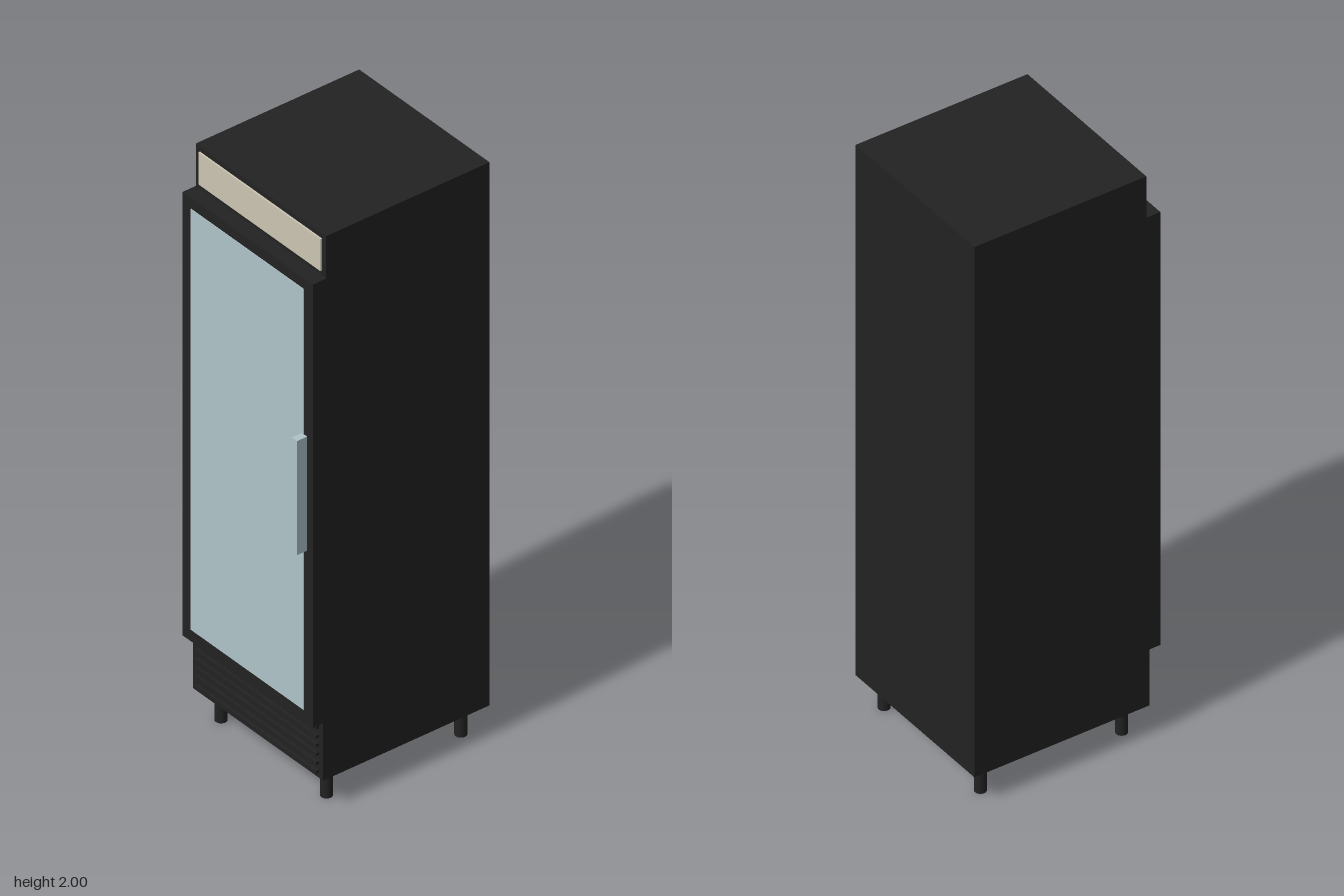
import * as THREE from 'three';

export function createModel() {
  const model = new THREE.Group();
  model.name = 'displayFridge';
  const mat = (name, color) => {
    const m = new THREE.MeshStandardMaterial({ color });
    m.name = name;
    return m;
  };
  const black = mat('black casing', 0x222222);
  const glass = mat('pale blue glass', 0xb0c4ca);
  const cream = mat('cream sign', 0xccc6b2);

  // Box given by its lower and upper limits on each axis
  const box = (name, material, [x0, x1], [y0, y1], [z0, z1], parent = model) => {
    const mesh = new THREE.Mesh(new THREE.BoxGeometry(x1 - x0, y1 - y0, z1 - z0), material);
    mesh.position.set((x0 + x1) / 2, (y0 + y1) / 2, (z0 + z1) / 2);
    mesh.name = name;
    parent.add(mesh);
    return mesh;
  };

  // Cabinet and the lit header panel
  box('cabinet', black, [-0.3, 0.3], [0.105, 2], [-0.343, 0.257]);
  box('headerSign', cream, [-0.281, 0.281], [1.87, 1.982], [0.255, 0.263]);

  // Door with glass pane and handle
  const door = new THREE.Group();
  door.name = 'door';
  model.add(door);
  box('doorFrame', black, [-0.3, 0.3], [0.305, 1.852], [0.257, 0.306], door);
  box('doorGlass', glass, [-0.26, 0.26], [0.347, 1.815], [0.3, 0.308], door);
  box('handle', glass, [0.25, 0.274], [0.91, 1.308], [0.306, 0.343], door);

  // Ventilation grille below the door
  const grille = new THREE.Group();
  grille.name = 'grille';
  model.add(grille);
  box('grillePanel', black, [-0.3, 0.3], [0.105, 0.305], [0.257, 0.268], grille);
  for (let i = 0; i < 6; i++) {
    const y = 0.127 + i * 0.031;
    box('grilleSlat', black, [-0.28, 0.28], [y - 0.005, y + 0.005], [0.266, 0.278], grille);
  }

  // Four round feet
  const footGeometry = new THREE.CylinderGeometry(0.019, 0.019, 0.11, 16);
  for (const x of [-0.243, 0.243]) {
    for (const z of [-0.283, 0.21]) {
      const foot = new THREE.Mesh(footGeometry, black);
      foot.position.set(x, 0.055, z);
      foot.name = 'foot';
      model.add(foot);
    }
  }
  return model;
}
